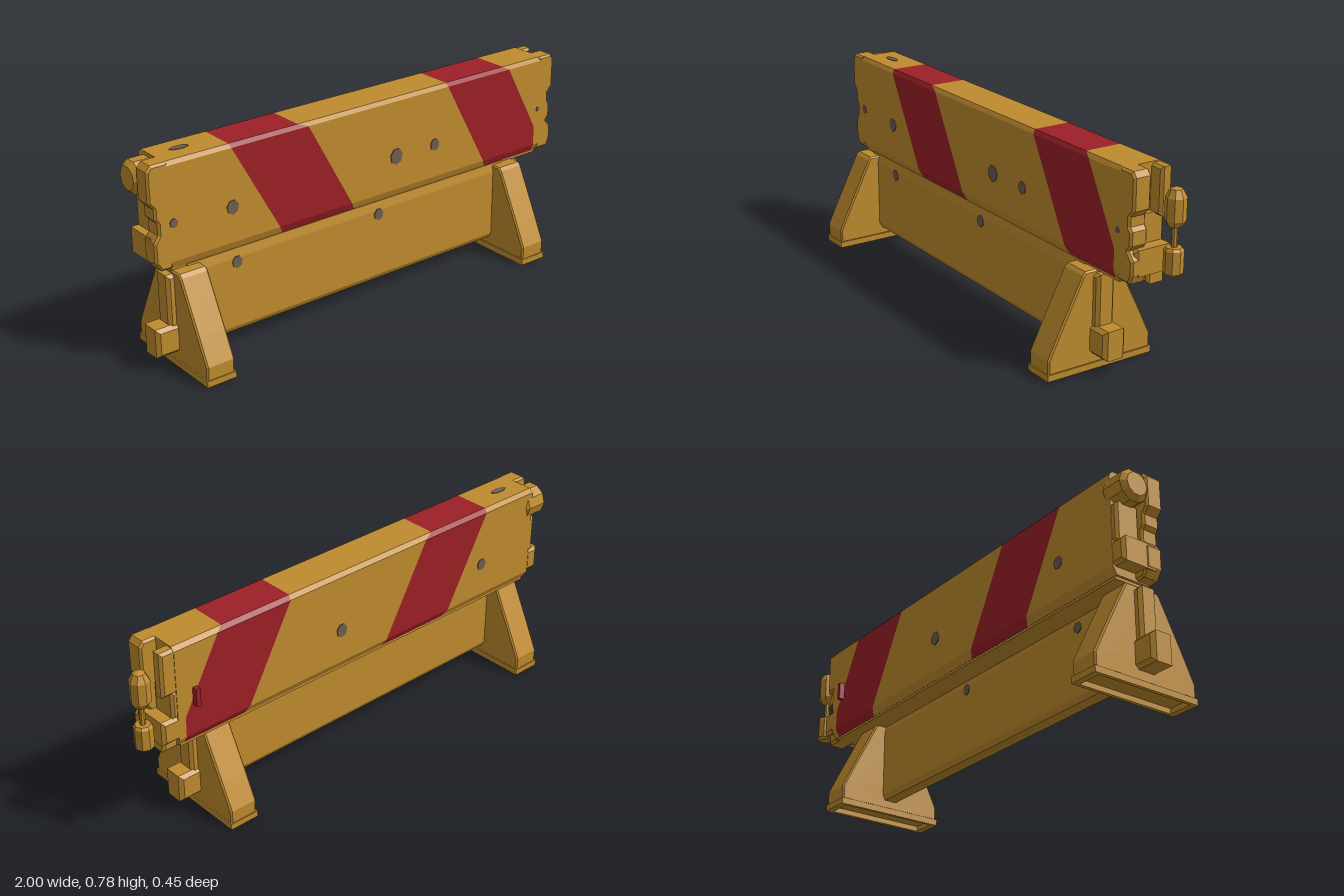
import * as THREE from 'three';

const mat = (name, color) => {
  const m = new THREE.MeshStandardMaterial({ color });
  m.name = name;
  return m;
};

export function createModel() {
  const yellow = mat('ochreYellow', 0xbf8b2e);
  const red = mat('stripeRed', 0x9c2026);
  const grey = mat('chippedGrey', 0x6f5d4f);
  const model = new THREE.Group();
  model.name = 'roadBarrier';

  const add = (name, geo, material, x = 0, y = 0, z = 0) => {
    const m = new THREE.Mesh(geo, material);
    m.name = name;
    m.position.set(x, y, z);
    model.add(m);
    return m;
  };
  const outline = pts => new THREE.Shape(pts.map(p => new THREE.Vector2(...p)));
  // Bevelled extrusion, kept inside the outline, centred on its depth
  const slab = (pts, depth, bevel = 0.008) => {
    const g = new THREE.ExtrudeGeometry(outline(pts), {
      depth: depth - 2 * bevel, bevelEnabled: true, bevelSegments: 1,
      bevelSize: bevel, bevelThickness: bevel, bevelOffset: -bevel,
    });
    return g.translate(0, 0, -depth / 2 + bevel);
  };
  // Chamfered block given by its limits
  const block = (name, x0, x1, y0, y1, z0, z1, bevel = 0.01) => {
    const w = (x1 - x0) / 2, h = (y1 - y0) / 2;
    const g = slab([[-w, -h], [w, -h], [w, h], [-w, h]], z1 - z0, bevel);
    return add(name, g, yellow, (x0 + x1) / 2, (y0 + y1) / 2, (z0 + z1) / 2);
  };

  // Beam cross-section as [z, y], up the front, over the top, down the back
  const section = [
    [0.025, 0.38], [0.037, 0.41], [0.037, 0.49], [0.037, 0.765], [0.027, 0.78],
    [-0.12, 0.78], [-0.135, 0.765], [-0.135, 0.49], [-0.135, 0.41], [-0.118, 0.38],
  ];
  // Beam length between two edges, each giving x at a height
  const beamPart = (name, left, right, material, capLeft, capRight) => {
    const n = section.length, pos = [], idx = [];
    for (const edge of [left, right])
      for (const [z, y] of section) pos.push(edge(y), y, z);
    for (let i = 0; i < n; i++) {
      const j = (i + 1) % n;
      idx.push(i, n + i, n + j, i, n + j, j);
      if (i > 0 && i < n - 1) {
        if (capLeft) idx.push(0, i, i + 1);
        if (capRight) idx.push(n, n + i + 1, n + i);
      }
    }
    const g = new THREE.BufferGeometry();
    g.setAttribute('position', new THREE.Float32BufferAttribute(pos, 3));
    g.setIndex(idx);
    const flat = g.toNonIndexed();
    flat.computeVertexNormals();
    add(name, flat, material);
  };
  const straight = x => () => x;
  const slant = (top, upper, limit = 9) => y =>
    y > 0.77 ? top : Math.min(limit, upper + (0.765 - y) * 0.55);
  const edges = [
    straight(-0.92), slant(-0.66, -0.655), slant(-0.365, -0.325),
    slant(0.335, 0.34), slant(0.635, 0.662, 0.815), straight(0.845),
  ];
  for (let i = 0; i < 5; i++)
    beamPart(i % 2 ? 'beamStripe' : 'beamBody', edges[i], edges[i + 1],
      i % 2 ? red : yellow, i === 0, i === 4);
  add('beamUnderside', new THREE.BoxGeometry(1.74, 0.012, 0.14), yellow, -0.04, 0.376, -0.047);

  // Right end: notched front cheek, lower block and upper rear lug
  const cheek = [
    [0.83, 0.385], [0.895, 0.385], [0.91, 0.42], [0.91, 0.47], [0.885, 0.5],
    [0.9, 0.52], [0.9, 0.57], [0.888, 0.585], [0.888, 0.62], [0.91, 0.645],
    [0.91, 0.76], [0.895, 0.78], [0.83, 0.78],
  ];
  add('endCheek', slab(cheek, 0.072), yellow, 0, 0, 0.001);
  block('endLowerBlock', 0.83, 0.91, 0.41, 0.505, -0.135, 0.02, 0.012);
  block('endFoot', 0.83, 0.9, 0.37, 0.42, -0.115, -0.04);
  block('endUpperLug', 0.83, 0.9, 0.6, 0.775, -0.133, -0.085);
  block('endWeb', 0.83, 0.865, 0.5, 0.61, -0.133, -0.03);

  // Left end: matching cheek, blocks and round hinge barrel
  const leftCheek = [
    [-0.91, 0.78], [-0.975, 0.78], [-0.993, 0.76], [-0.993, 0.645], [-0.972, 0.62],
    [-0.972, 0.58], [-0.96, 0.565], [-0.96, 0.52], [-0.978, 0.495], [-0.978, 0.42],
    [-0.955, 0.385], [-0.91, 0.385],
  ];
  add('endCheek', slab(leftCheek, 0.072), yellow, 0, 0, 0.001);
  block('endLowerBlock', -0.975, -0.91, 0.41, 0.505, -0.135, 0.02, 0.012);
  block('endWeb', -0.945, -0.91, 0.5, 0.65, -0.133, -0.03);
  const barrel = new THREE.LatheGeometry([[0, -0.06], [0.045, -0.06], [0.064, -0.042],
    [0.064, 0.042], [0.045, 0.06], [0, 0.06]].map(p => new THREE.Vector2(...p)), 10)
    .rotateZ(Math.PI / 2).toNonIndexed();
  barrel.computeVertexNormals();
  add('hingeBarrel', barrel, yellow, -0.94, 0.705, -0.083);

  // Lower panel, chamfered along its edges
  const panel = [
    [-0.025, 0.055], [0.025, 0.055], [0.036, 0.075], [0.036, 0.345], [0.028, 0.38],
    [-0.028, 0.38], [-0.036, 0.345], [-0.036, 0.075],
  ];
  add('lowerPanel', slab(panel, 1.5, 0.002).rotateY(Math.PI / 2), yellow, -0.1025, 0, 0);

  // Legs with hollow feet, outer posts and sockets
  const legProfile = [
    [-0.221, 0.02], [0.221, 0.02], [0.222, 0.075], [0.175, 0.172], [0.08, 0.36],
    [0.068, 0.373], [-0.068, 0.373], [-0.08, 0.36], [-0.175, 0.172], [-0.222, 0.075],
  ];
  const rect = (w, h) => [[-w, -h], [w, -h], [w, h], [-w, h]];
  for (const [x, side] of [[-0.855, -1], [0.65, 1]]) {
    add('leg', slab(legProfile, 0.114, 0.006).rotateY(Math.PI / 2), yellow, x);
    const rim = outline(rect(0.06, 0.225));
    rim.holes.push(new THREE.Path(rect(0.046, 0.2).map(p => new THREE.Vector2(...p))));
    add('footRim', new THREE.ExtrudeGeometry(rim, { depth: 0.024, bevelEnabled: false })
      .rotateX(-Math.PI / 2), yellow, x);
    const span = (a, b) => side > 0 ? [x + a, x + b] : [x - b, x - a];
    block('legPost', ...span(0.03, 0.085), 0.15, 0.362, -0.038, 0.038, 0.012);
    block('legSocket', ...span(0.04, 0.143), 0.06, 0.172, -0.047, 0.047, 0.014);
  }

  // Hanging lamp: faceted bulb, rod and base
  const lamp = new THREE.LatheGeometry([
    [0, 0.415], [0.025, 0.415], [0.035, 0.425], [0.035, 0.505], [0.028, 0.515], [0.011, 0.515],
    [0.011, 0.582], [0.024, 0.588], [0.037, 0.61], [0.037, 0.69], [0.022, 0.718], [0, 0.726],
  ].map(p => new THREE.Vector2(...p)), 8).toNonIndexed();
  lamp.computeVertexNormals();
  add('lamp', lamp, yellow, 0.962, 0, -0.096);
  add('rearButton', new THREE.BoxGeometry(0.018, 0.07, 0.024), red, 0.77, 0.563, -0.144);

  // Chips in the paint: [x, y, radius, z, facing]
  const chips = [
    [-0.9, 0.553, 0.018, 0.037, 1], [-0.66, 0.545, 0.028, 0.037, 1],
    [0.083, 0.545, 0.033, 0.037, 1], [0.275, 0.545, 0.025, 0.037, 1],
    [0.83, 0.56, 0.01, 0.037, 1],
    [-0.65, 0.33, 0.024, 0.036, 1], [-0.003, 0.33, 0.024, 0.036, 1],
    [0.1, 0.545, 0.028, -0.135, -1], [-0.64, 0.545, 0.025, -0.135, -1],
    [-0.62, 0.33, 0.022, -0.036, -1], [0.03, 0.33, 0.022, -0.036, -1],
  ];
  for (const [x, y, r, z, s] of chips) {
    const c = add('paintChip', new THREE.CylinderGeometry(r, r, 0.004, 7).rotateX(Math.PI / 2),
      grey, x, y, z + s * 0.001);
    c.scale.x = 0.9;
  }
  const topChip = add('topChip', new THREE.CylinderGeometry(0.04, 0.04, 0.004, 7), grey, -0.81, 0.78, -0.05);
  topChip.scale.z = 0.4;
  return model;
}
